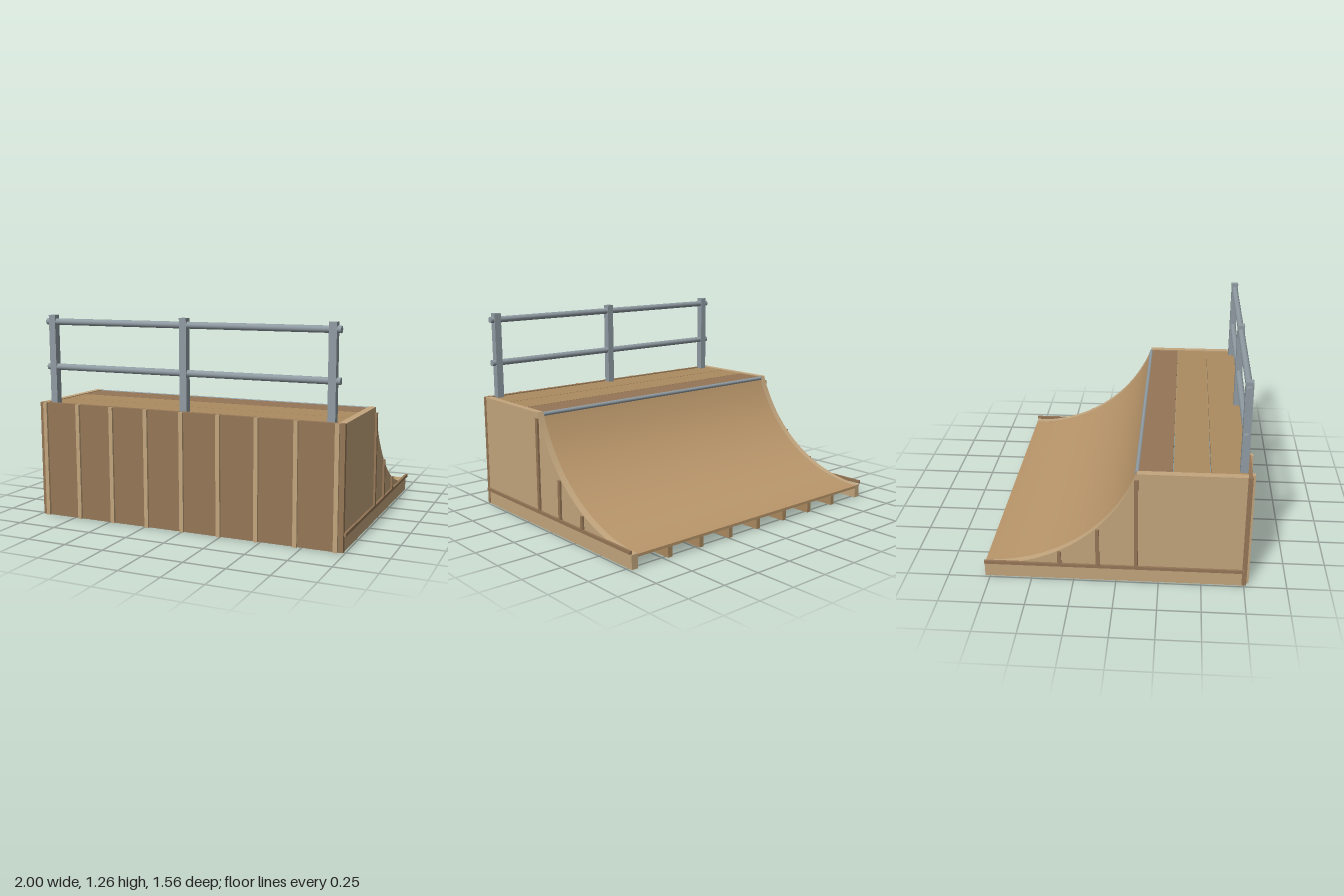
import * as THREE from 'three';
import { toCreasedNormals } from 'three/addons/utils/BufferGeometryUtils.js';

const mat = (color) => new THREE.MeshStandardMaterial({ color });
const paleWood = mat(0xc2a57d), wood = mat(0xb9966a), ribWood = mat(0xab8a60);
const darkWood = mat(0x957656), metal = mat(0x8f9ba2);

// Riding surface: a circular arc, level at the back edge and steep at the lip
const BACK = -0.78, LIP = 0.12, RADIUS = 0.955, CENTRE_Y = 1.04;
const arcPoints = (r, z0, z1, n = 40) => {
  const a0 = Math.asin((z0 - BACK) / r), a1 = Math.asin((z1 - BACK) / r);
  return Array.from({ length: n + 1 }, (_, i) => {
    const a = a0 + (a1 - a0) * i / n;
    return new THREE.Vector2(BACK + r * Math.sin(a), CENTRE_Y - r * Math.cos(a));
  });
};

export function createModel() {
  const model = new THREE.Group();
  model.name = 'quarterPipeRamp';

  const add = (name, geometry, material, x = 0, y = 0, z = 0) => {
    const mesh = new THREE.Mesh(geometry, material);
    mesh.name = name;
    mesh.position.set(x, y, z);
    model.add(mesh);
    return mesh;
  };
  // Box given by its limits on each axis
  const box = (name, material, [x0, x1], [y0, y1], [z0, z1]) =>
    add(name, new THREE.BoxGeometry(x1 - x0, y1 - y0, z1 - z0), material,
      (x0 + x1) / 2, (y0 + y1) / 2, (z0 + z1) / 2);
  // Outline in (z, y), extruded along x and centred
  const slab = (points, width) => {
    const g = new THREE.ExtrudeGeometry(new THREE.Shape(points), { depth: width, bevelEnabled: false });
    g.translate(0, 0, -width / 2).rotateY(-Math.PI / 2);
    return toCreasedNormals(g, 0.4);
  };
  const tube = (name, material, r, length, y, z) =>
    add(name, new THREE.CylinderGeometry(r, r, length, 20).rotateZ(Math.PI / 2), material, 0, y, z);

  // Side panels with the curved cut-out
  const V = (z, y) => new THREE.Vector2(z, y);
  const panel = slab([V(BACK, 0), V(0.74, 0), V(0.74, 0.72), V(LIP, 0.72),
    ...arcPoints(RADIUS, BACK, LIP).reverse()], 0.042);
  for (const s of [-1, 1]) add('sidePanel', panel, paleWood, s * 0.966);

  // Ribs under the riding surface
  const rib = slab([V(BACK + 0.005, 0), V(0.11, 0),
    ...arcPoints(RADIUS + 0.018, BACK + 0.005, 0.11).reverse()], 0.03);
  for (let i = -3; i <= 3; i++) add('rib', rib, ribWood, i * 0.2365);

  // Curved riding surface
  add('rampSurface', slab([...arcPoints(RADIUS + 0.003, BACK, LIP),
    ...arcPoints(RADIUS + 0.02, BACK, LIP).reverse()], 1.89), wood);

  // Metal coping along the lip
  tube('coping', metal, 0.013, 1.89, 0.706, LIP);

  // Deck planks
  [[0.125, 0.318], [0.324, 0.528], [0.534, 0.736]].forEach((z, i) =>
    box('deckPlank', i ? ribWood : darkWood, [-0.945, 0.945], [0.685, 0.715], z));

  // Front wall and its upright battens
  box('frontWall', darkWood, [-0.988, 0.988], [0, 0.72], [0.737, 0.765]);
  for (let i = -4; i <= 4; i++) {
    const x = i * 0.2365;
    box('wallBatten', paleWood, [x - 0.0125, x + 0.0125], [0, 0.72], [0.762, 0.78]);
  }

  // Trim strips on the outer sides
  for (const s of [-1, 1]) {
    const x = s > 0 ? [0.985, 1] : [-1, -0.985];
    box('sideRail', darkWood, x, [0.09, 0.11], [BACK, 0.75]);
    for (const [z, top] of [[0.118, 0.685], [-0.107, 0.35], [-0.332, 0.19]])
      box('sideBatten', darkWood, x, [0.11, top], [z - 0.011, z + 0.011]);
  }

  // Safety railing
  for (const x of [-0.9, 0, 0.9])
    box('railingPost', metal, [x - 0.0225, x + 0.0225], [0.7, 1.263], [0.695, 0.74]);
  for (const y of [0.943, 1.222]) tube('railingBar', metal, 0.02, 1.89, y, 0.718);

  return model;
}
